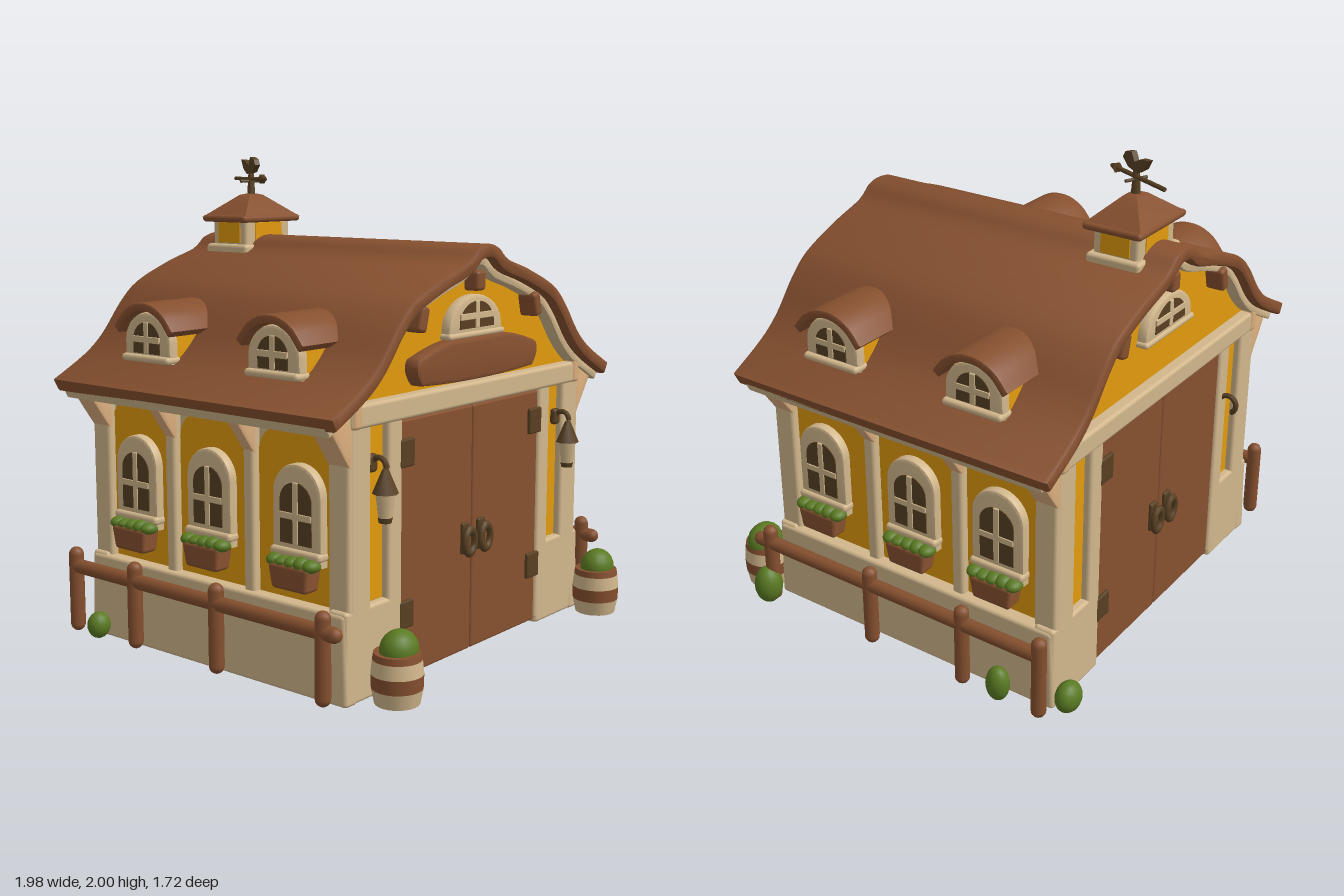
import * as THREE from 'three';
import { toCreasedNormals } from 'three/addons/utils/BufferGeometryUtils.js';
import { RoundedBoxGeometry } from 'three/addons/geometries/RoundedBoxGeometry.js';

const mat = (name, color) => Object.assign(new THREE.MeshStandardMaterial({ color }), { name });
const brown = mat('brown wood', 0x86502f);
const cream = mat('cream plaster', 0xd2b78c);
const peach = mat('peach timber', 0xd9ac7c);
const yellow = mat('yellow wall', 0xe29b0e);
const dark = mat('dark iron', 0x584022);
const green = mat('green leaves', 0x5a7a22);

function add(parent, name, geo, material, x = 0, y = 0, z = 0) {
  const m = new THREE.Mesh(geo, material);
  m.name = name;
  m.position.set(x, y, z);
  parent.add(m);
  return m;
}
function sub(parent, name, x = 0, y = 0, z = 0, ry = 0) {
  const g = new THREE.Group();
  g.name = name;
  g.position.set(x, y, z);
  g.rotation.y = ry;
  parent.add(g);
  return g;
}
// Soft-edged box, optionally widened at the foot
function box(w, h, d, r = 0.015, flare = 0) {
  const g = new RoundedBoxGeometry(w, h, d, 2, Math.min(r, w / 2.1, h / 2.1, d / 2.1));
  const p = g.attributes.position;
  if (flare) {
    for (let i = 0; i < p.count; i++) {
      const k = 1 + flare * (0.5 - p.getY(i) / h);
      p.setX(i, p.getX(i) * k);
      p.setZ(i, p.getZ(i) * k);
    }
  }
  return g;
}
// Extrude a shape so that it spans z0..z1, with an optional bevel
function ext(shape, z0, z1, b = 0) {
  const g = new THREE.ExtrudeGeometry(shape, {
    depth: z1 - z0 - 2 * b, curveSegments: 14, bevelEnabled: b > 0,
    bevelThickness: b, bevelSize: b, bevelOffset: -b, bevelSegments: 2,
  });
  return toCreasedNormals(g.translate(0, 0, z0 + b), 0.75);
}
// Rectangle with an elliptical arch on top
function arch(w, h, rise, y0 = 0) {
  const s = new THREE.Shape();
  s.moveTo(-w / 2, y0);
  s.lineTo(w / 2, y0);
  s.lineTo(w / 2, y0 + h - rise);
  s.absellipse(0, y0 + h - rise, w / 2, rise, 0, Math.PI, false);
  s.lineTo(-w / 2, y0);
  return s;
}
// Smooth symmetrical curve from a half profile, moved inward by an offset
function offsetCurve(half, off) {
  const pts = [...half.slice(1).reverse().map(([x, y]) => [-x, y]), ...half];
  const c = new THREE.SplineCurve(pts.map(([x, y]) => new THREE.Vector2(x, y)));
  return Array.from({ length: 65 }, (_, i) => {
    const t = c.getTangent(i / 64);
    return c.getPoint(i / 64).add(new THREE.Vector2(t.y, -t.x).multiplyScalar(off));
  });
}
const band = (half, a, b) => new THREE.Shape([...offsetCurve(half, b), ...offsetCurve(half, a).reverse()]);

const roofLine = [[0, 1.665], [0.07, 1.65], [0.14, 1.6], [0.3, 1.55], [0.48, 1.475], [0.58, 1.39],
  [0.68, 1.27], [0.78, 1.19], [0.95, 1.1]];
const dormerLine = [[0, 1.43], [0.06, 1.42], [0.12, 1.385], [0.17, 1.325]];

// Arched window facing +z with four panes
function windowUnit(parent, name, w, h, rise, pw, ph, prise, py, depth = 0.05) {
  const g = sub(parent, name);
  add(g, 'windowFrame', ext(arch(w, h, rise), 0, depth, 0.012), cream);
  add(g, 'windowPanes', ext(arch(pw, ph, prise, py), depth, depth + 0.004), dark);
  add(g, 'windowBarUpright', box(0.026, ph, 0.012, 0.003), cream, 0, py + ph / 2, depth + 0.002);
  add(g, 'windowBarCross', box(pw, 0.026, 0.012, 0.003), cream, 0, py + ph * 0.45, depth + 0.002);
  return g;
}
function bush(parent, name, x, y, z, rx, ry, rz) {
  const m = add(parent, name, new THREE.SphereGeometry(1, 18, 12), green, x, y, z);
  m.scale.set(rx, ry, rz);
}

// Gable end facing +z
function buildEnd(house, front) {
  const e = sub(house, front ? 'frontEnd' : 'backEnd', 0, 0, 0, front ? 0 : Math.PI);
  add(e, 'crossBeam', box(1.56, 0.09, 0.07), cream, 0, 1.075, 0.67);
  for (const s of [-1, 1]) {
    add(e, 'door', box(0.478, 1.01, 0.05, 0.01), brown, s * 0.24, 0.52, 0.66);
    add(e, 'doorPost', box(0.085, 1.04, 0.07), cream, s * 0.515, 0.54, 0.662);
    add(e, 'cornerPost', box(0.12, 1.04, 0.08), cream, s * 0.72, 0.54, 0.657);
    add(e, 'footing', box(0.325, 0.36, 0.09, 0.015, 0.035), cream, s * 0.645, 0.18, 0.652);
    add(e, 'yellowStrip', box(0.11, 0.68, 0.009, 0.002), yellow, s * 0.61, 0.7, 0.66);
    add(e, 'roofBracket', box(0.05, 0.1, 0.09), brown, s * 0.39, 1.4, 0.69).rotation.z = s * 0.25;
    add(e, 'eaveBracket', box(0.05, 0.1, 0.06), peach, s * 0.75, 1.08, 0.68);
    if (front || s < 0)
      for (const y of [0.9, 0.27]) add(e, 'hinge', box(0.09, 0.11, 0.02, 0.008), dark, s * 0.445, y, 0.69);
    const h = sub(e, 'doorHandle', s * 0.055, 0.49, 0.69);
    add(h, 'handlePlate', box(0.05, 0.13, 0.02), dark);
    add(h, 'handleRing', new THREE.TorusGeometry(0.034, 0.014, 8, 16), dark, 0, -0.01, 0.025).scale.y = 1.4;
  }
  add(e, 'ridgeBracket', box(0.06, 0.08, 0.08), brown, 0, 1.52, 0.68);
  windowUnit(e, 'gableWindow', 0.36, 0.16, 0.13, 0.23, 0.105, 0.09, 0.03).position.set(0, 1.305, 0.645);
  add(e, 'gableSill', box(0.38, 0.025, 0.06), cream, 0, 1.31, 0.675);
  if (!front) {
    add(e, 'wallHook', new THREE.TorusGeometry(0.04, 0.012, 8, 12, 4.2), dark, 0.52, 0.77, 0.72).rotation.y = Math.PI / 2;
    return;
  }
  // Blank signboard
  const b = new THREE.Shape();
  b.moveTo(-0.38, 1.145);
  b.quadraticCurveTo(0, 1.12, 0.38, 1.145);
  b.quadraticCurveTo(0.44, 1.21, 0.4, 1.25);
  b.quadraticCurveTo(0.26, 1.295, 0.18, 1.3);
  b.lineTo(-0.18, 1.3);
  b.quadraticCurveTo(-0.26, 1.295, -0.4, 1.25);
  b.quadraticCurveTo(-0.44, 1.21, -0.38, 1.145);
  add(e, 'signboard', ext(b, 0.65, 0.72, 0.015), brown);
  for (const s of [-1, 1]) {
    const l = sub(e, 'lantern', s * 0.635, 0, 0.74);
    add(l, 'lanternMount', box(0.05, 0.07, 0.03), dark, 0, 0.89, -0.065);
    add(l, 'lanternArm', new THREE.TorusGeometry(0.035, 0.011, 8, 12, Math.PI), dark, 0, 0.88, -0.03).rotation.y = Math.PI / 2;
    add(l, 'lanternCap', new THREE.CylinderGeometry(0.012, 0.05, 0.09, 8), dark, 0, 0.83, 0);
    add(l, 'lanternGlass', new THREE.CylinderGeometry(0.037, 0.026, 0.09, 8), cream, 0, 0.74, 0);
    add(l, 'lanternFoot', new THREE.CylinderGeometry(0.028, 0.024, 0.02, 8), dark, 0, 0.685, 0);
  }
}

// Long side wall; pieces are turned to face outward
function buildSide(house, s) {
  const side = sub(house, s > 0 ? 'leftSide' : 'rightSide');
  const out = (name, z) => sub(side, name, 0, 0, z, s * Math.PI / 2);
  add(side, 'skirt', box(0.07, 0.35, 1.38, 0.015, 0.02), cream, s * 0.78, 0.175, 0);
  add(side, 'topBeam', box(0.06, 0.08, 1.36), cream, s * 0.765, 1.06, 0);
  for (const z of [0.645, 0.195, -0.235, -0.645]) {
    const p = out('wallPost', z);
    const w = Math.abs(z) > 0.5 ? 0.1 : 0.055;
    add(p, 'post', box(w, 0.78, 0.05), cream, 0, 0.7, 0.765);
    // Curved brace under the eave, drawn in profile
    const b = new THREE.Shape();
    b.moveTo(0.76, 0.86);
    b.quadraticCurveTo(0.82, 0.94, 0.9, 1.06);
    b.lineTo(0.88, 1.1);
    b.lineTo(0.76, 1.13);
    add(p, 'eaveBrace', ext(b, -w / 2, w / 2, 0.008), peach).rotation.y = -Math.PI / 2;
  }
  for (const [z, w] of [[0.42, 0.39], [-0.02, 0.37], [-0.44, 0.35]])
    add(out('wallPanel', z), 'yellowPanel', ext(arch(w, 0.69, 0.13, 0.34), 0.75, 0.757), yellow);
  for (const z of [0.445, -0.015, -0.43]) {
    const g = out('sideWindow', z);
    windowUnit(g, 'archedWindow', 0.24, 0.38, 0.12, 0.155, 0.235, 0.07, 0.075).position.set(0, 0.5, 0.745);
    add(g, 'windowSill', box(0.25, 0.035, 0.07), cream, 0, 0.54, 0.775);
    add(g, 'flowerBox', box(0.2, 0.1, 0.09, 0.015, -0.15), brown, 0, 0.455, 0.805);
    for (let i = -2; i <= 2; i++) bush(g, 'boxPlant', i * 0.045, 0.51, 0.81, 0.033, 0.025 + 0.005 * (i % 2), 0.042);
  }
  for (const z of [0.345, -0.335]) {
    const d = out('dormer', z);
    add(d, 'dormerRoof', ext(band(dormerLine, 0, 0.035), 0.5, 0.83, 0.01), brown);
    add(d, 'dormerWalls', ext(arch(0.25, 0.24, 0.1, 1.16), 0.45, 0.765), yellow);
    windowUnit(d, 'dormerWindow', 0.26, 0.2, 0.12, 0.15, 0.125, 0.07, 0.035).position.set(0, 1.19, 0.755);
    add(d, 'dormerSill', box(0.27, 0.03, 0.08), cream, 0, 1.205, 0.785);
  }
  // Rail fence
  const f = sub(side, 'fence', s * 0.9);
  for (const z of [0.665, 0.125, -0.335, -0.695])
    add(f, 'fencePost', new THREE.CapsuleGeometry(0.031, 0.3, 5, 10), brown, 0, 0.21, z);
  add(f, 'fenceRail', new THREE.CapsuleGeometry(0.03, 1.4, 5, 10), brown, 0, 0.31, 0.02).rotation.x = Math.PI / 2;
}

function buildCupola(root) {
  const c = sub(root, 'cupola', 0, 0, -0.565);
  add(c, 'cupolaBase', box(0.33, 0.05, 0.24), cream, 0, 1.6, 0);
  add(c, 'cupolaWalls', box(0.28, 0.2, 0.2), cream, 0, 1.65, 0);
  add(c, 'cupolaPanelsFrontBack', box(0.17, 0.09, 0.208, 0.002), yellow, 0, 1.675, 0);
  add(c, 'cupolaPanelsSides', box(0.288, 0.09, 0.13, 0.002), yellow, 0, 1.675, 0);
  add(c, 'cupolaEave', box(0.36, 0.03, 0.26), brown, 0, 1.735, 0);
  const r = new THREE.LatheGeometry([[0.25, 1.74], [0.13, 1.8], [0.06, 1.835], [0, 1.845]].map(([x, y]) => new THREE.Vector2(x, y)), 4);
  add(c, 'cupolaRoof', toCreasedNormals(r.rotateY(Math.PI / 4), 0.6), brown).scale.set(1, 1, 0.73);
  // Weather vane
  const v = sub(c, 'weatherVane', 0, 0, 0, 1.15);
  add(v, 'vanePole', new THREE.CylinderGeometry(0.011, 0.02, 0.14, 8), dark, 0, 1.89, 0);
  add(v, 'vaneArm', new THREE.CylinderGeometry(0.009, 0.009, 0.34, 6), dark, 0.01, 1.905, 0).rotation.z = Math.PI / 2;
  add(v, 'vaneCrossArm', new THREE.CylinderGeometry(0.007, 0.007, 0.1, 6), dark, 0, 1.895, 0).rotation.x = Math.PI / 2;
  add(v, 'vaneTip', new THREE.ConeGeometry(0.022, 0.05, 6), dark, -0.15, 1.905, 0).rotation.z = Math.PI / 2;
  const bird = new THREE.Shape([[-0.06, 1.99], [-0.075, 1.965], [-0.04, 1.935], [0.02, 1.925], [0.06, 1.95],
    [0.085, 1.99], [0.04, 1.985], [0, 1.965], [-0.02, 2]].map(([x, y]) => new THREE.Vector2(x, y)));
  add(v, 'vaneBird', ext(bird, -0.012, 0.012), dark);
}

export function createModel() {
  const root = new THREE.Group();
  root.name = 'barn';
  const house = sub(root, 'house', 0, 0, -0.045);
  add(house, 'walls', box(1.5, 1.1, 1.3, 0.01), cream, 0, 0.565, 0);
  add(house, 'floor', box(1.32, 0.02, 1.28, 0.004), brown, 0, 0.014, 0);
  const gable = offsetCurve(roofLine, 0.07).filter((p) => p.y > 1.1 && Math.abs(p.x) < 0.84);
  add(house, 'gableWall', ext(new THREE.Shape(gable.reverse()), -0.655, 0.655), yellow);
  add(house, 'roofTrim', ext(band(roofLine, 0.045, 0.085), -0.71, 0.71, 0.008), cream);
  add(house, 'roof', ext(band(roofLine, 0, 0.055), -0.755, 0.755, 0.016), brown);
  buildEnd(house, true);
  buildEnd(house, false);
  for (const s of [1, -1]) buildSide(house, s);
  buildCupola(root);

  // Banded planter barrels at the front
  for (const [x, z] of [[-0.655, 0.77], [0.78, 0.77]]) {
    const b = sub(root, 'barrel', x, 0, z);
    const stops = [[0.01, 0.086], [0.07, 0.098], [0.125, 0.1], [0.18, 0.094], [0.205, 0.09]];
    stops.slice(1).forEach(([y, r], i) => {
      const [y0, r0] = stops[i];
      add(b, 'barrelBand', new THREE.CylinderGeometry(r, r0, y - y0, 24), i % 2 ? brown : cream, 0, (y + y0) / 2, 0);
    });
    bush(b, 'barrelPlant', 0.01, 0.21, 0, 0.083, 0.078, 0.07);
  }
  // Bushes around the walls
  bush(root, 'bush', 0.925, 0.11, 0.63, 0.06, 0.085, 0.06);
  bush(root, 'bush', 0.9, 0.1, -0.55, 0.045, 0.075, 0.05);
  bush(root, 'bush', 0.79, 0.08, -0.805, 0.065, 0.065, 0.05);
  bush(root, 'bush', -0.94, 0.1, -0.56, 0.05, 0.055, 0.045);
  return root;
}
